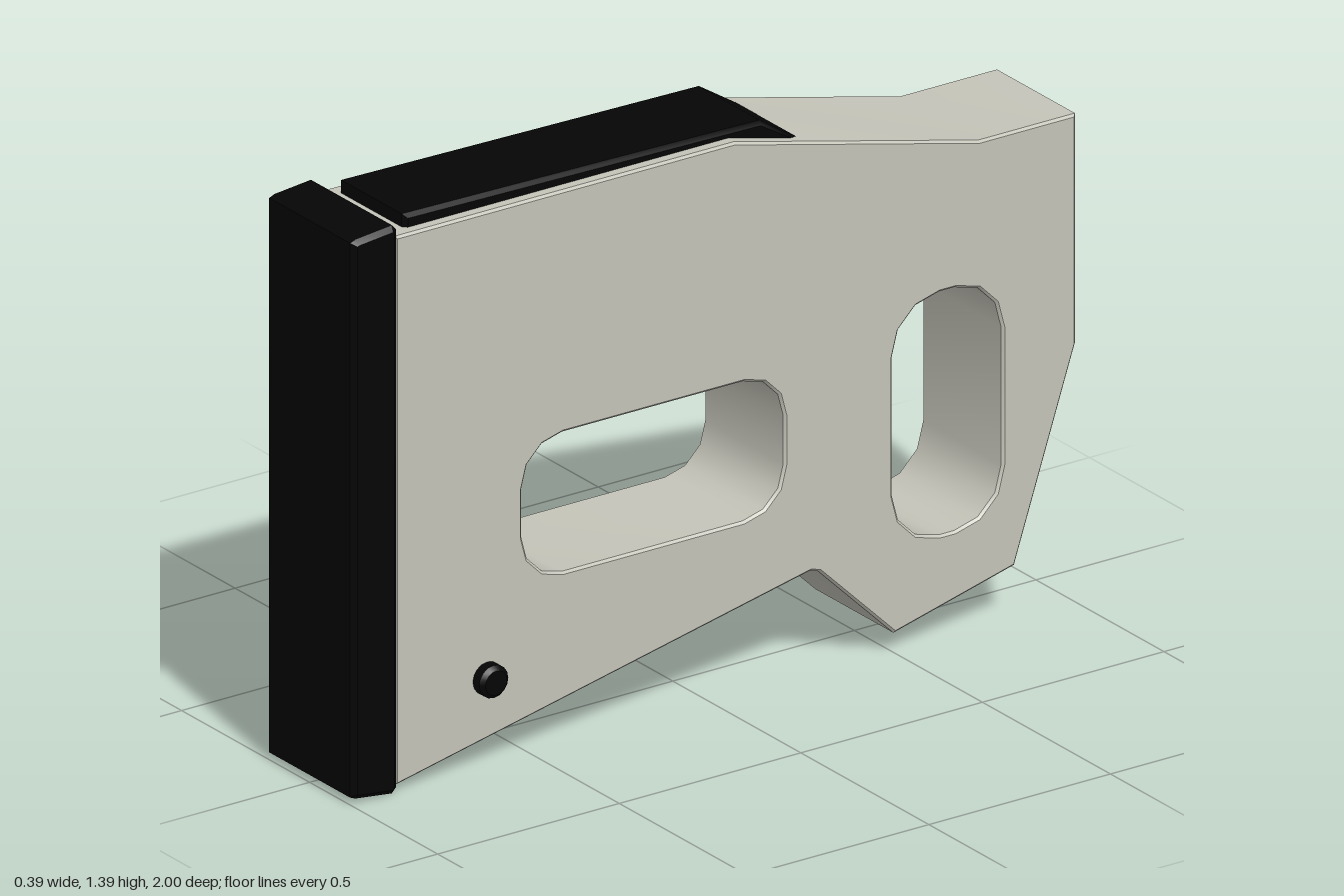
import * as THREE from 'three';
import { toCreasedNormals } from 'three/addons/utils/BufferGeometryUtils.js';

// Side profiles are given as [z, y]; they are extruded across x and centred.
const toVec = ([z, y]) => new THREE.Vector2(-z, y);

function sideExtrude(points, width, bevel, holes = []) {
  const shape = new THREE.Shape(points.map(toVec));
  for (const hole of holes) shape.holes.push(new THREE.Path(hole.map(toVec)));
  const geo = new THREE.ExtrudeGeometry(shape, {
    depth: width - 2 * bevel,
    bevelEnabled: true,
    bevelThickness: bevel,
    bevelSize: bevel,
    bevelOffset: -bevel,
    bevelSegments: 1,
  });
  geo.translate(0, 0, bevel - width / 2);
  geo.rotateY(Math.PI / 2);
  return toCreasedNormals(geo, 0.6);
}

// Rounded rectangle with three facets per corner, wound against the outer profile
function roundedSlot(z0, z1, y0, y1, r) {
  const centres = [[z1 - r, y1 - r], [z0 + r, y1 - r], [z0 + r, y0 + r], [z1 - r, y0 + r]];
  const points = [];
  centres.forEach(([z, y], i) => {
    for (let k = 0; k <= 3; k++) {
      const a = (i + k / 3) * Math.PI / 2;
      points.push([z + r * Math.cos(a), y + r * Math.sin(a)]);
    }
  });
  return points.reverse();
}

export function createModel() {
  const model = new THREE.Group();
  const shell = new THREE.MeshStandardMaterial({ name: 'warmGrey', color: 0xc5c4b9 });
  const rubber = new THREE.MeshStandardMaterial({ name: 'black', color: 0x050505 });

  const add = (name, geometry, material) => {
    const mesh = new THREE.Mesh(geometry, material);
    mesh.name = name;
    model.add(mesh);
    return mesh;
  };

  // Main body with two through-slots
  add('stockBody', sideExtrude(
    [[0.875, 1.36], [-0.06, 1.36], [-0.735, 1.197], [-1, 1.197], [-1, 0.635], [-0.832, 0.132],
      [-0.5, 0.048], [-0.293, 0.25], [-0.27, 0.257], [0.875, 0.015]],
    0.316, 0.006,
    [roundedSlot(-0.197, 0.525, 0.425, 0.767, 0.112), roundedSlot(-0.797, -0.495, 0.257, 0.853, 0.13)],
  ), shell);

  // Flared end pad
  add('endPad', sideExtrude(
    [[1, 1.376], [0.985, 1.382], [0.885, 1.392], [0.874, 1.38], [0.874, 0.012], [0.885, 0],
      [0.985, 0.012], [1, 0.018]],
    0.34, 0.012,
  ), rubber);

  // Raised rest let into the top of the body
  add('topRest', sideExtrude(
    [[0.83, 1.392], [-0.155, 1.378], [-0.265, 1.307], [-0.2, 1.28], [0.83, 1.3]],
    0.256, 0.01,
  ), rubber);

  // Cross pin with chamfered ends
  const profile = [[0, -0.193], [0.03, -0.193], [0.04, -0.183], [0.04, 0.183], [0.03, 0.193], [0, 0.193]];
  const pin = new THREE.LatheGeometry(profile.map(([r, h]) => new THREE.Vector2(r, h)), 16);
  pin.rotateZ(Math.PI / 2);
  add('crossPin', toCreasedNormals(pin, 0.6), rubber).position.set(0, 0.217, 0.622);

  return model;
}
